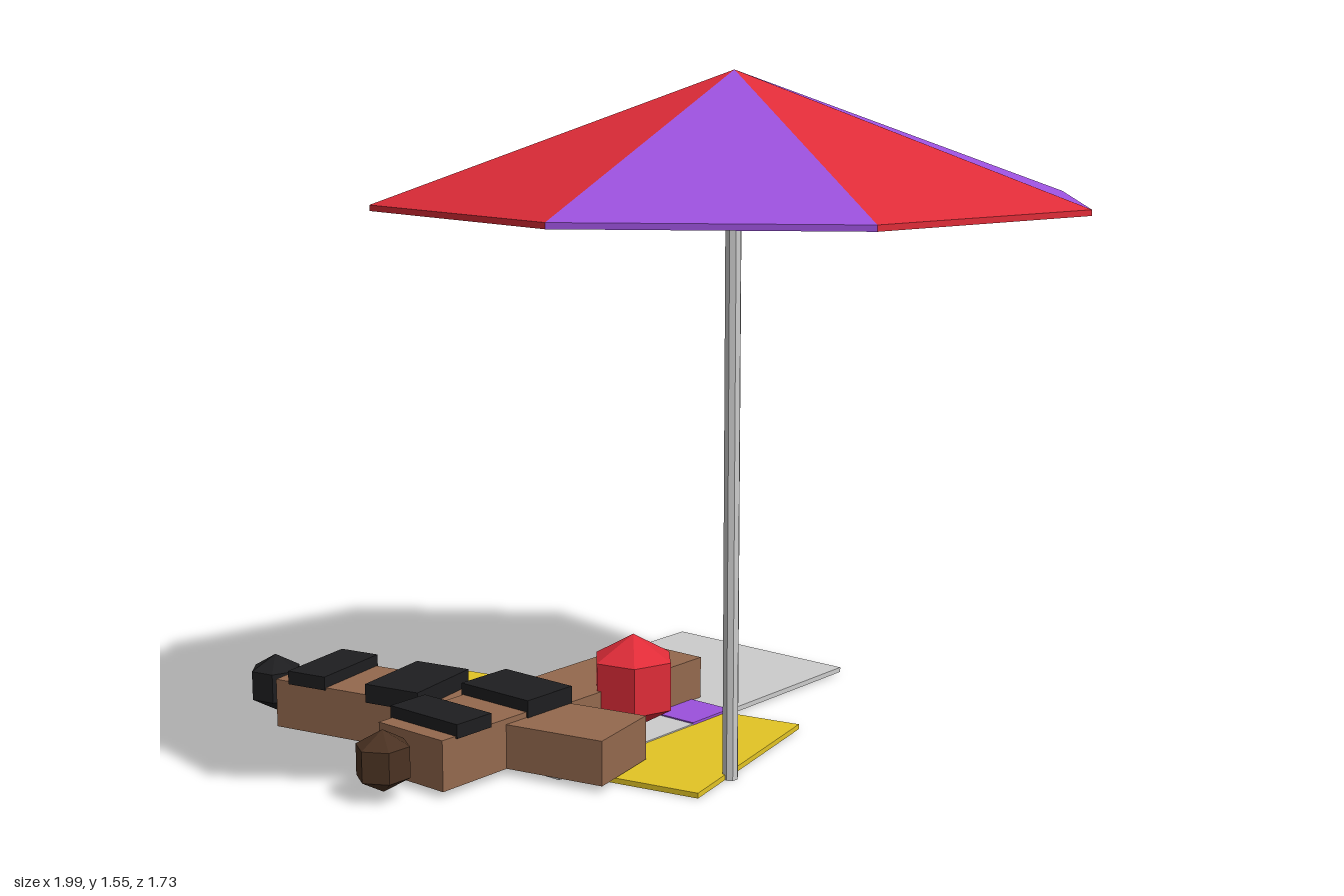
import * as THREE from 'three';

const COLORS = {
  grey: 0xcccccc, red: 0xdf2c38, purple: 0x9b51dc, yellow: 0xe3c425,
  green: 0x2fae4e, black: 0x1e1e20, skin: 0x94694e, brownHair: 0x4a3222,
};

function part(name, geometry, color, x = 0, y = 0, z = 0) {
  const material = new THREE.MeshStandardMaterial({ color: COLORS[color], flatShading: true });
  const mesh = new THREE.Mesh(geometry, material);
  mesh.name = name;
  mesh.position.set(x, y, z);
  return mesh;
}

// Box given by its x range, y range and depth, centred on z = 0
function slab(name, color, x0, x1, y0, y1, depth) {
  const geometry = new THREE.BoxGeometry(x1 - x0, y1 - y0, depth);
  return part(name, geometry, color, (x0 + x1) / 2, (y0 + y1) / 2, 0);
}

function placed(name, x, z, angle, parts) {
  const group = new THREE.Group();
  group.name = name;
  group.position.set(x, 0, z);
  group.rotation.y = angle;
  group.add(...parts);
  return group;
}

// Beach towel with a band across its middle
function towel(name, color, bandColor, x, z, angle, y) {
  return placed(name, x, z, angle, [
    slab('towelCloth', color, -0.535, 0.535, y, y + 0.012, 0.53),
    slab('towelBand', bandColor, -0.07, 0.07, y + 0.002, 0.018, 0.532),
  ]);
}

// Blocky sunbather lying along local x, head at the origin
function sunbather(name, hairColor, x, z, angle) {
  return placed(name, x, z, angle, [
    part('head', new THREE.SphereGeometry(0.07, 6, 3), hairColor, 0, 0.085, 0),
    slab('torso', 'skin', 0.08, 0.43, 0.015, 0.13, 0.2),
    slab('legs', 'skin', 0.43, 0.96, 0.015, 0.117, 0.2),
    slab('swimsuitTop', 'black', 0.12, 0.225, 0.125, 0.157, 0.21),
    slab('swimsuitBottom', 'black', 0.34, 0.485, 0.113, 0.157, 0.21),
  ]);
}

// Octagonal parasol with alternating panels and a thin hem
function parasol(x, z) {
  const R = 0.77, RIM = 1.28, APEX = 1.546, HEM = 0.012, STEP = Math.PI / 4;
  const parts = [part('pole', new THREE.CylinderGeometry(0.018, 0.018, 1.45, 8), 'grey', 0, 0.725, 0)];
  for (let i = 0; i < 8; i++) {
    const color = i % 2 ? 'red' : 'purple';
    const panel = new THREE.ConeGeometry(R, APEX - RIM, 1, 1, true, i * STEP, STEP);
    const hem = new THREE.CylinderGeometry(R, R, HEM, 1, 1, true, i * STEP, STEP);
    const meshes = [
      part('canopyPanel', panel, color, 0, (APEX + RIM) / 2, 0),
      part('canopyHem', hem, color, 0, RIM - HEM / 2, 0),
    ];
    meshes.forEach((m) => { m.material.side = THREE.DoubleSide; });
    parts.push(...meshes);
  }
  return placed('parasol', x, z, 0, parts);
}

export function createModel() {
  const model = new THREE.Group();
  model.name = 'beachScene';
  const tilt = 1.358;
  model.add(
    parasol(0.225, 0.093),
    towel('yellowTowel', 'yellow', 'green', -0.315, -0.025, 0, 0),
    towel('greyTowel', 'grey', 'purple', -0.244, -0.291, tilt, 0.003),
    sunbather('sunbather', 'black', -0.939, 0.207, 0),
    sunbather('secondSunbather', 'brownHair', -0.378, 0.555, tilt),
    part('beachBall', new THREE.SphereGeometry(0.115, 6, 3), 'red', -0.117, 0.125, -0.088),
  );
  return model;
}
